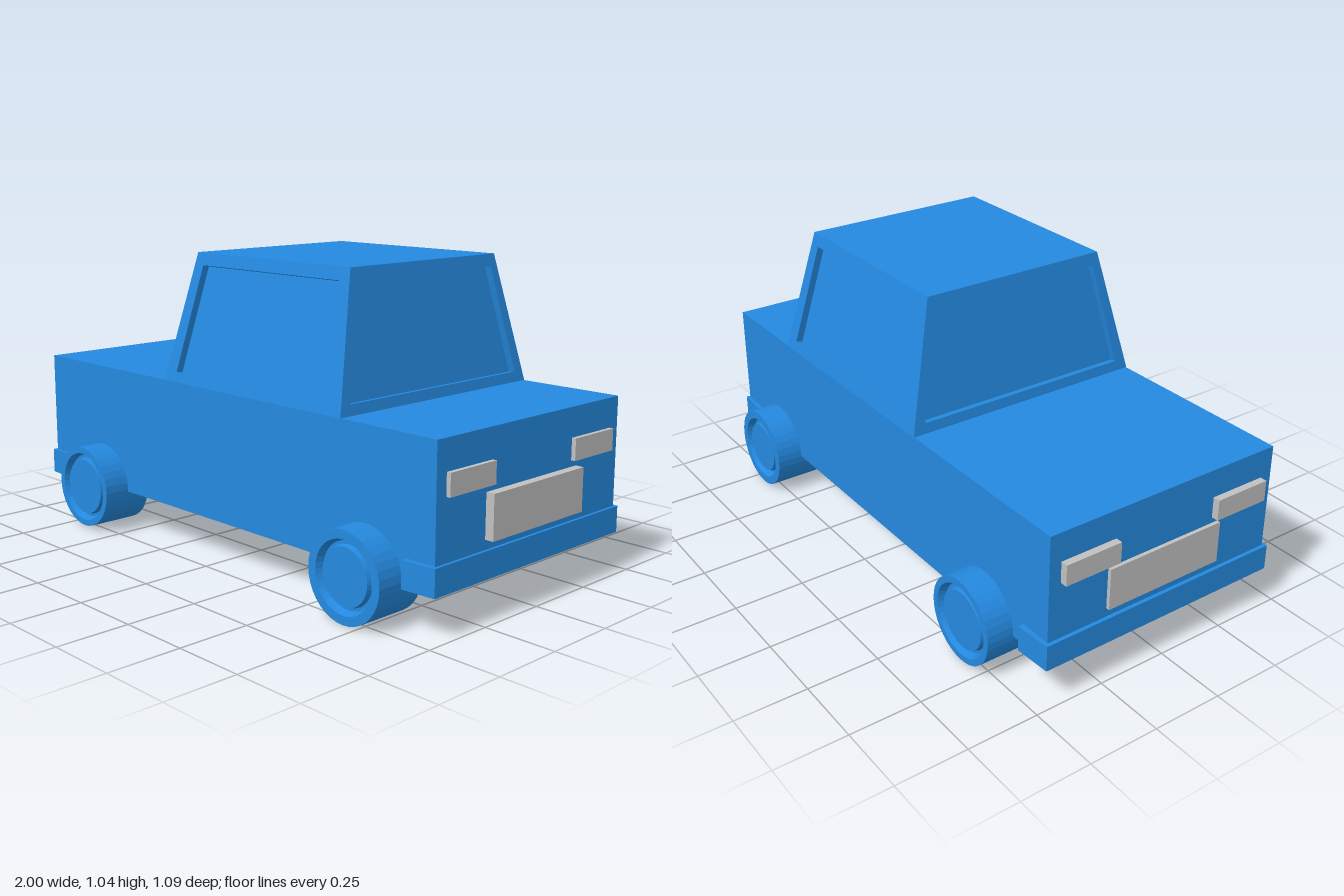
import * as THREE from 'three';

const blue = new THREE.MeshStandardMaterial({ color: 0x2489df });
blue.name = 'body blue';
const grey = new THREE.MeshStandardMaterial({ color: 0xc0c0c0 });
grey.name = 'light grey';

function box(name, material, x0, x1, y0, y1, z0, z1) {
  const mesh = new THREE.Mesh(new THREE.BoxGeometry(x1 - x0, y1 - y0, z1 - z0), material);
  mesh.position.set((x0 + x1) / 2, (y0 + y1) / 2, (z0 + z1) / 2);
  mesh.name = name;
  return mesh;
}

// Tapered cabin whose four sides each hold a sunken window
function cabin() {
  const ring = (x0, x1, y, z) => [[x0, z], [x1, z], [x1, -z], [x0, -z]]
    .map(([px, pz]) => new THREE.Vector3(px, y, pz));
  const low = ring(-0.27, 0.59, 0.6, 0.45);
  const top = ring(-0.205, 0.525, 1.04, 0.345);
  const positions = [];
  const quad = (a, b, c, d) => [a, b, c, a, c, d].forEach(p => positions.push(p.x, p.y, p.z));
  quad(...top);
  for (let i = 0; i < 4; i++) {
    const j = (i + 1) % 4;
    const outer = [low[i], low[j], top[j], top[i]];
    const at = (u, v) => outer[0].clone().lerp(outer[1], u)
      .lerp(outer[3].clone().lerp(outer[2], u), v);
    const m = i % 2 ? 0.046 : 0.06;
    const rim = [at(m, 0.08), at(1 - m, 0.08), at(1 - m, 0.905), at(m, 0.905)];
    const inward = outer[1].clone().sub(outer[0])
      .cross(outer[3].clone().sub(outer[0])).setLength(-0.025);
    const pane = rim.map(p => p.clone().add(inward));
    for (let k = 0; k < 4; k++) {
      const n = (k + 1) % 4;
      quad(outer[k], outer[n], rim[n], rim[k]);
      quad(rim[k], rim[n], pane[n], pane[k]);
    }
    quad(...pane);
  }
  const geometry = new THREE.BufferGeometry();
  geometry.setAttribute('position', new THREE.Float32BufferAttribute(positions, 3));
  geometry.computeVertexNormals();
  const mesh = new THREE.Mesh(geometry, blue);
  mesh.name = 'cabin';
  return mesh;
}

// Wheel with a grooved rim around a flat hub
function wheel(name, x, y, side, rim) {
  const profile = [
    [0, 0], [0.148, 0], [0.148, 0.185], [rim, 0.185], [rim - 0.01, 0.16],
    [rim - 0.02, 0.16], [rim - 0.025, 0.178], [0, 0.178],
  ].map(p => new THREE.Vector2(...p));
  const geometry = new THREE.LatheGeometry(profile, 36).toNonIndexed();
  geometry.computeVertexNormals();
  const mesh = new THREE.Mesh(geometry, blue);
  mesh.rotation.x = side * Math.PI / 2;
  mesh.position.set(x, y, side * 0.358);
  mesh.name = name;
  return mesh;
}

// Bumper wrapping the body corners, slightly tapered in plan
function bumper(name, side, outerX) {
  const shape = new THREE.Shape([
    [side * 0.86, -0.468], [outerX, -0.459], [outerX, 0.459], [side * 0.86, 0.468],
  ].map(p => new THREE.Vector2(...p)));
  const geometry = new THREE.ExtrudeGeometry(shape, { depth: 0.09, bevelEnabled: false });
  geometry.rotateX(-Math.PI / 2);
  const mesh = new THREE.Mesh(geometry, blue);
  mesh.position.y = 0.138;
  mesh.name = name;
  return mesh;
}

export function createModel() {
  const model = new THREE.Group();
  model.name = 'car';
  model.add(box('body', blue, -0.975, 0.97, 0.15, 0.6, -0.448, 0.448), cabin());

  for (const side of [-1, 1]) {
    const label = side > 0 ? 'Front' : 'Back';
    model.add(wheel('leftWheel' + label, 0.696, 0.15, side, 0.118));
    model.add(wheel('rightWheel' + label, -0.66, 0.157, side, 0.126));
    // Lamps at both ends
    const z0 = side > 0 ? 0.198 : -0.405;
    model.add(box('leftLamp' + label, grey, 0.96, 0.985, 0.427, 0.5, z0, z0 + 0.207));
    model.add(box('rightLamp' + label, grey, -1, -0.96, 0.427, 0.5, z0, z0 + 0.207));
  }

  // Plates and bumpers at both ends
  model.add(box('leftPlate', grey, 0.96, 1, 0.26, 0.406, -0.224, 0.224));
  model.add(box('rightPlate', grey, -0.988, -0.96, 0.26, 0.406, -0.224, 0.224));
  model.add(bumper('leftBumper', 1, 0.98), bumper('rightBumper', -1, -0.988));
  return model;
}
